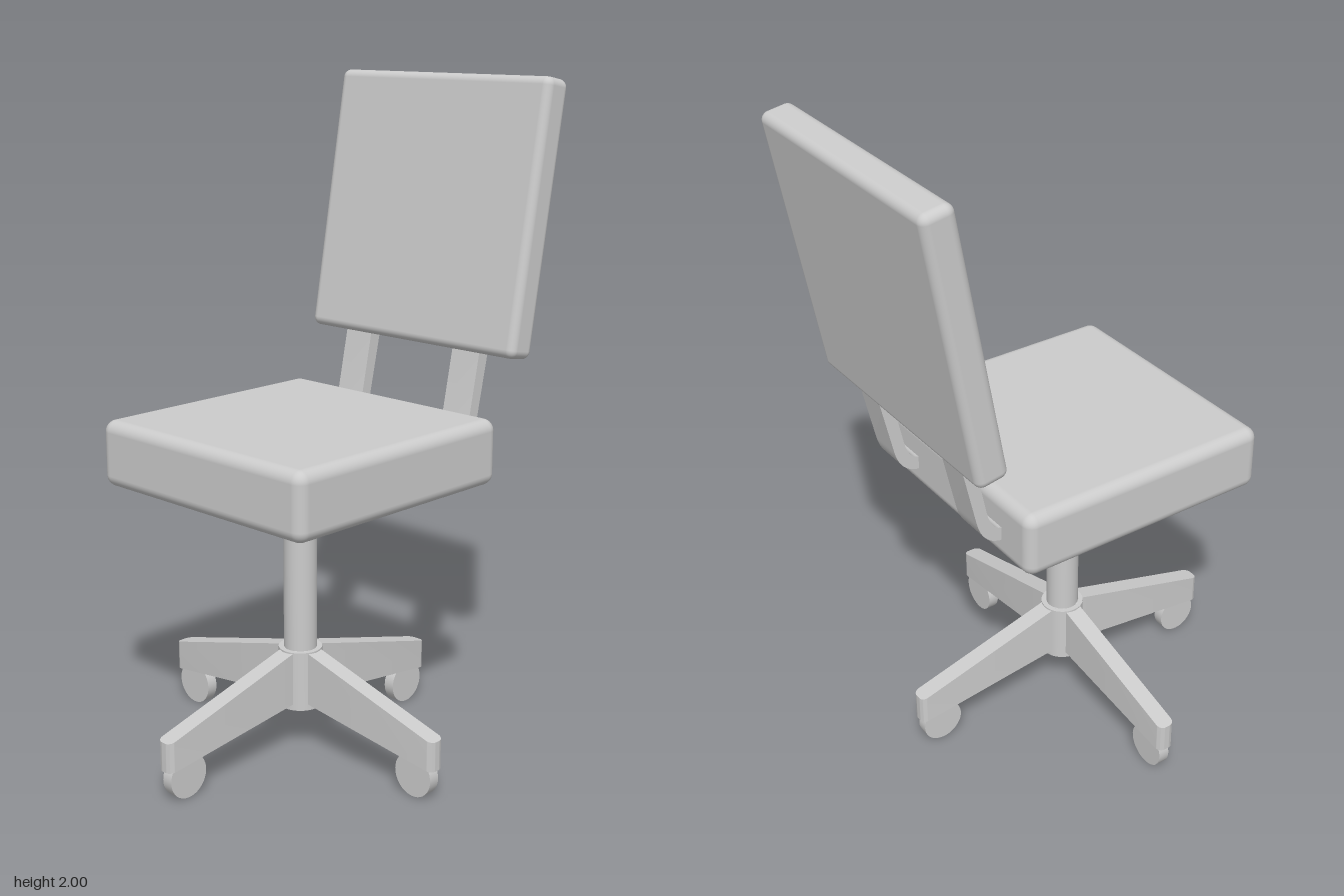
import * as THREE from 'three';
import { toCreasedNormals } from 'three/addons/utils/BufferGeometryUtils.js';
import { RoundedBoxGeometry } from 'three/addons/geometries/RoundedBoxGeometry.js';

const material = new THREE.MeshStandardMaterial({ color: 0xcccccc });

function part(name, geometry, x = 0, y = 0, z = 0) {
  const mesh = new THREE.Mesh(geometry, material);
  mesh.name = name;
  mesh.position.set(x, y, z);
  return mesh;
}

// Upright cylinder between two heights
function post(name, radius, y0, y1) {
  return part(name, new THREE.CylinderGeometry(radius, radius, y1 - y0, 40), 0, (y0 + y1) / 2, 0);
}

// Tapered leg along +x: a round-cornered plan, with heights that slope down to the tip
function legGeometry() {
  const tip = 0.545, w = 0.0275, r = 0.02;
  const plan = new THREE.Shape();
  plan.moveTo(0.02, -w);
  plan.lineTo(tip - r, -w);
  plan.absarc(tip - r, -w + r, r, -Math.PI / 2, 0, false);
  plan.lineTo(tip, w - r);
  plan.absarc(tip - r, w - r, r, 0, Math.PI / 2, false);
  plan.lineTo(0.02, w);
  plan.closePath();
  const geometry = new THREE.ExtrudeGeometry(plan, { depth: 1, bevelEnabled: false, curveSegments: 6 });
  geometry.rotateX(-Math.PI / 2);
  const p = geometry.attributes.position;
  for (let i = 0; i < p.count; i++) {
    const t = (p.getX(i) - 0.065) / (tip - 0.065);
    const bottom = THREE.MathUtils.lerp(0.158, 0.1, t);
    const top = THREE.MathUtils.lerp(0.32, 0.19, t);
    p.setY(i, p.getY(i) > 0.5 ? top : bottom);
  }
  return toCreasedNormals(geometry, 0.6);
}

// Bent flat bar that joins the seat to the backrest
function supportGeometry() {
  const width = 0.104;
  const side = new THREE.Shape();
  side.moveTo(0.28, 0.895);
  side.lineTo(0.335, 0.895);
  side.quadraticCurveTo(0.393, 0.905, 0.41, 0.98);
  side.lineTo(0.47, 1.25);
  side.lineTo(0.43, 1.26);
  side.lineTo(0.375, 0.995);
  side.quadraticCurveTo(0.36, 0.936, 0.325, 0.936);
  side.lineTo(0.28, 0.936);
  side.closePath();
  const geometry = new THREE.ExtrudeGeometry(side, { depth: width, bevelEnabled: false, curveSegments: 12 });
  geometry.translate(0, 0, -width / 2);
  return toCreasedNormals(geometry, 0.6);
}

export function createModel() {
  const chair = new THREE.Group();
  chair.name = 'officeChair';

  // Cushions
  chair.add(part('seat', new RoundedBoxGeometry(0.82, 0.2, 0.82, 5, 0.035), -0.08, 0.93, 0));
  const back = part('backrest', new RoundedBoxGeometry(0.1, 0.82, 0.82, 5, 0.025), 0.503, 1.592, 0);
  back.rotation.z = -THREE.MathUtils.degToRad(10);
  chair.add(back);

  // Backrest supports
  const support = supportGeometry();
  chair.add(part('leftSupport', support, 0, 0, 0.212));
  chair.add(part('rightSupport', support, 0, 0, -0.226));

  // Column and hub
  const base = new THREE.Group();
  base.name = 'base';
  base.position.x = -0.08;
  base.add(post('hub', 0.066, 0.14, 0.325));
  base.add(post('column', 0.05, 0.3, 0.75));
  base.add(post('seatCollar', 0.066, 0.73, 0.85));

  // Four legs, each with a wheel
  const leg = legGeometry();
  const wheel = new THREE.CylinderGeometry(0.066, 0.066, 0.035, 40).rotateX(Math.PI / 2);
  for (let i = 0; i < 4; i++) {
    const arm = new THREE.Group();
    arm.name = 'legWithWheel';
    arm.rotation.y = (i * Math.PI) / 2;
    arm.add(part('leg', leg), part('wheel', wheel, 0.469, 0.067, 0));
    base.add(arm);
  }
  chair.add(base);
  return chair;
}
